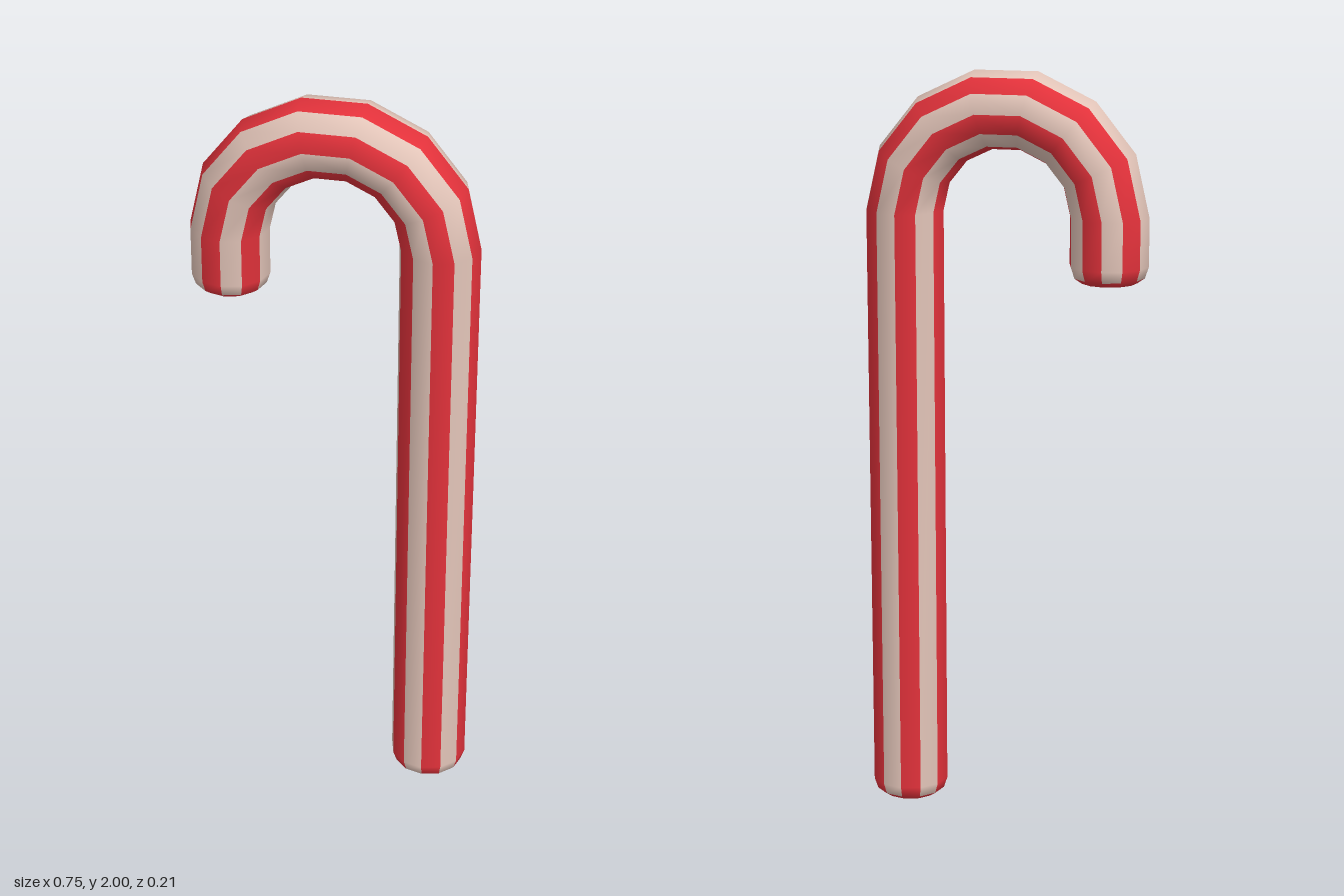
import * as THREE from 'three';

const SIDES = 12;      // panels around the stick
const TUBE = 0.104;    // stick radius
const BEND = 0.272;    // radius of the hook's centre line
const BEND_Y = 1.634;  // height where the hook starts to curve
const HOOK_END = 1.46;

// rounded end: [radius, height above the tip]
const END = [[0, 0], [0.074, 0.004], [0.094, 0.018], [TUBE, 0.048]];

export function createModel() {
  const red = new THREE.MeshStandardMaterial({ color: 0xe3323b });
  red.name = 'candy red';
  const cream = new THREE.MeshStandardMaterial({ color: 0xe3c5b9 });
  cream.name = 'cream';

  // rings along the cane: centre, direction of the hook's outer side, radius
  const rings = [];
  const addRing = (x, y, angle, radius) => rings.push({ x, y, angle, radius });
  for (const [r, h] of END) addRing(BEND, h, 0, r);
  const bends = 7;
  for (let i = 0; i <= bends; i++) {
    const a = (i / bends) * Math.PI;
    addRing(BEND * Math.cos(a), BEND_Y + BEND * Math.sin(a), a, TUBE);
  }
  for (const [r, h] of [...END].reverse()) addRing(-BEND, HOOK_END + h, Math.PI, r);

  const positions = [];
  for (const { x, y, angle, radius } of rings) {
    for (let j = 0; j < SIDES; j++) {
      const t = (j / SIDES) * Math.PI * 2;
      const out = radius * Math.cos(t);
      positions.push(x + out * Math.cos(angle), y + out * Math.sin(angle), radius * Math.sin(t));
    }
  }

  // every second panel is red, and both tips are red all round
  const faces = [[], []];
  const last = rings.length - 2;
  for (let i = 0; i <= last; i++) {
    const tip = i < 2 || i > last - 2;
    for (let j = 0; j < SIDES; j++) {
      const k = (j + 1) % SIDES;
      const a = i * SIDES + j, b = i * SIDES + k;
      const c = a + SIDES, d = b + SIDES;
      const list = faces[tip || j % 2 === 0 ? 0 : 1];
      if (i > 0) list.push(a, c, b);
      if (i < last) list.push(b, c, d);
    }
  }

  const geometry = new THREE.BufferGeometry();
  geometry.setAttribute('position', new THREE.Float32BufferAttribute(positions, 3));
  geometry.setIndex([...faces[0], ...faces[1]]);
  geometry.addGroup(0, faces[0].length, 0);
  geometry.addGroup(faces[0].length, faces[1].length, 1);
  geometry.computeVertexNormals();

  const cane = new THREE.Mesh(geometry, [red, cream]);
  cane.name = 'stripedCane';

  const model = new THREE.Group();
  model.name = 'candyCane';
  model.add(cane);
  return model;
}
